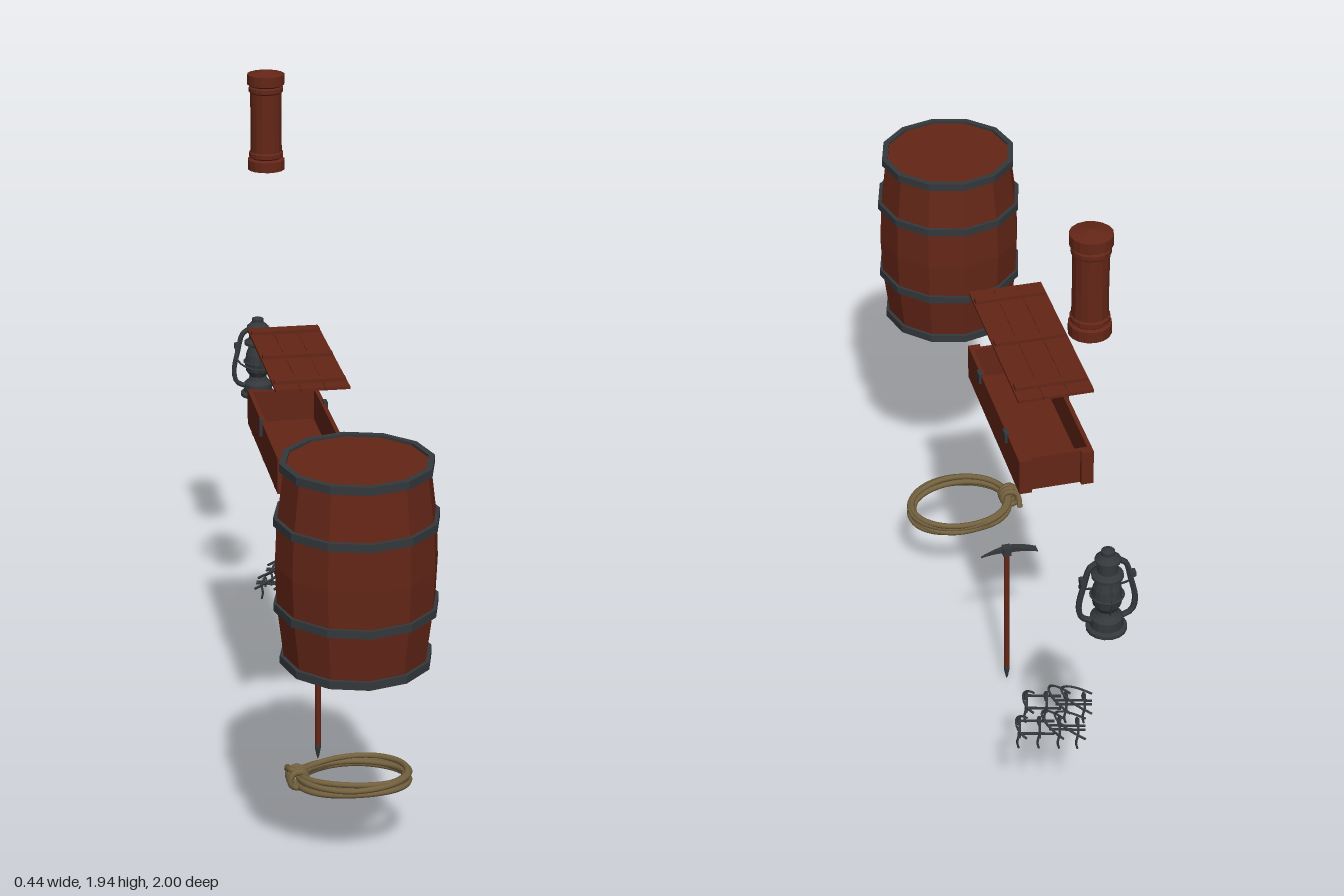
import * as THREE from 'three';

const mat = (color, flatShading = true) =>
  new THREE.MeshStandardMaterial({ color, flatShading, side: THREE.DoubleSide });
const wood = mat(0x642617), metal = mat(0x34383b), ropeMat = mat(0x74623f, false);
const V = (x, y, z) => new THREE.Vector3(x, y, z);

function add(parent, name, geometry, material, x = 0, y = 0, z = 0) {
  const mesh = new THREE.Mesh(geometry, material);
  mesh.name = name;
  mesh.position.set(x, y, z);
  parent.add(mesh);
  return mesh;
}

function group(parent, name, x, y, z) {
  const g = new THREE.Group();
  g.name = name;
  g.position.set(x, y, z);
  parent.add(g);
  return g;
}

const lathe = (pts, sides) =>
  new THREE.LatheGeometry(pts.map(([r, y]) => new THREE.Vector2(r, y)), sides);
const box = (w, h, d) => new THREE.BoxGeometry(w, h, d);
const tube = (pts, r, n = 16, sides = 6, closed = false) =>
  new THREE.TubeGeometry(new THREE.CatmullRomCurve3(pts, closed), n, r, sides, closed);

// Twelve-sided barrel with four hoops
function barrel(root) {
  const g = group(root, 'barrel', -0.006, 0.745, 0.784);
  add(g, 'staves', lathe([[0, 0.008], [0.188, 0.008], [0.207, 0.16], [0.212, 0.275],
    [0.207, 0.39], [0.188, 0.545], [0, 0.545]], 12), wood);
  for (const [y, r] of [[0.011, 0.2], [0.16, 0.216], [0.395, 0.216], [0.541, 0.2]]) {
    const h = 0.011, i = r - 0.017;
    add(g, 'hoop', lathe([[i, -h], [r, -h], [r, h], [i, h], [i, -h]], 12), metal, 0, y);
  }
}

// Round canister with thicker, slightly domed ends
function canister(root) {
  const g = group(root, 'canister', -0.006, 1.785, -0.742);
  const half = [[0.046, 0], [0.047, 0.088], [0.051, 0.092], [0.051, 0.104],
    [0.047, 0.108], [0.055, 0.113], [0.055, 0.143], [0, 0.155]];
  const mirrored = half.slice(1).reverse().map(([r, y]) => [r, -y]);
  add(g, 'canisterBody', lathe([...mirrored, ...half], 16), wood);
}

// Open crate with corner posts, floor battens, hinges and a latch
function crate(root) {
  const g = group(root, 'crate', -0.005, 0.945, -0.168);
  add(g, 'floor', box(0.2, 0.01, 0.54), wood, 0, 0.008);
  for (const s of [-1, 1]) {
    add(g, 'sideBoard', box(0.012, 0.105, 0.55), wood, s * 0.097, 0.055);
    add(g, 'endBoard', box(0.2, 0.105, 0.012), wood, 0, 0.055, s * 0.269);
    for (const x of [-1, 1])
      add(g, 'endPost', box(0.034, 0.105, 0.014), wood, x * 0.086, 0.055, s * 0.281);
  }
  for (const z of [-0.216, 0, 0.216]) add(g, 'floorBatten', box(0.2, 0.011, 0.026), wood, 0, -0.002, z);
  for (const z of [-0.145, 0.145]) add(g, 'hinge', box(0.012, 0.03, 0.028), metal, 0.104, 0.097, z);
  add(g, 'latch', box(0.01, 0.05, 0.016), metal, -0.106, 0.095);

  // Plank lid floating above the crate
  const lid = group(root, 'lid', -0.005, 1.242, -0.172);
  for (let i = -1; i <= 1; i++) {
    add(lid, 'lidPlank', box(0.0685, 0.008, 0.545), wood, i * 0.0695);
    add(lid, 'lidBatten', box(0.2, 0.01, 0.024), wood, 0, 0.009, i * 0.216);
  }
}

// Hurricane lantern: flared base, globe, vented cap and bowed side tubes
function lantern(root) {
  const g = group(root, 'lantern', -0.005, 0.858, -0.946);
  add(g, 'base', lathe([[0, 0], [0.054, 0], [0.054, 0.009], [0.044, 0.014], [0.043, 0.04],
    [0.03, 0.052], [0.024, 0.066], [0, 0.066]], 16), metal);
  add(g, 'globe', lathe([[0.026, 0.064], [0.037, 0.082], [0.041, 0.105], [0.037, 0.135],
    [0.027, 0.162], [0, 0.162]], 16), metal);
  add(g, 'cap', lathe([[0.026, 0.16], [0.042, 0.168], [0.042, 0.176], [0.027, 0.186],
    [0.026, 0.212], [0.034, 0.218], [0.034, 0.225], [0.018, 0.24], [0.018, 0.25],
    [0, 0.257]], 16), metal);
  for (const s of [-1, 1]) {
    add(g, 'sideTube', tube([V(s * 0.035, 0.03, 0), V(s * 0.066, 0.045, 0), V(s * 0.075, 0.08, 0),
      V(s * 0.062, 0.15, 0), V(s * 0.046, 0.205, 0), V(s * 0.022, 0.218, 0)], 0.008), metal);
    add(g, 'handlePivot', box(0.016, 0.016, 0.016), metal, s * 0.066, 0.165);
    add(g, 'globeGuard', tube([V(0, 0.064, s * 0.03), V(0, 0.11, s * 0.045),
      V(0, 0.165, s * 0.034)], 0.003), metal);
  }
  const ring = add(g, 'guardRing', new THREE.TorusGeometry(0.043, 0.003, 6, 20), metal, 0, 0.11);
  ring.rotation.x = Math.PI / 2;
  // Carrying handle folded down around the front
  add(g, 'handle', tube([V(-0.07, 0.165, 0), V(-0.064, 0.12, 0.025), V(0, 0.095, 0.047),
    V(0.064, 0.12, 0.025), V(0.07, 0.165, 0)], 0.003), metal);
}

// Pickaxe standing on its tip
function pickaxe(root) {
  const g = group(root, 'pickaxe', 0.045, 0, -0.108);
  add(g, 'shaft', new THREE.CylinderGeometry(0.008, 0.0085, 0.45, 8), wood, 0, 0.263);
  add(g, 'ferrule', lathe([[0, 0], [0.004, 0.012], [0.009, 0.038], [0.009, 0.05], [0, 0.05]], 8), metal);
  const blade = box(0.166, 0.018, 0.014, 1, 1, 1);
  const head = new THREE.BoxGeometry(0.166, 0.018, 0.016, 10, 1, 1);
  blade.dispose();
  const p = head.attributes.position;
  for (let i = 0; i < p.count; i++) {
    const x = p.getX(i), t = Math.abs(x) / 0.083;
    p.setY(i, p.getY(i) * (1 - 0.8 * t) - 0.016 * t * t);
    p.setZ(i, p.getZ(i) * (x > 0 ? 1 - 0.8 * t : 1 + 0.4 * t));
  }
  add(g, 'head', head, metal, -0.007, 0.487);
  add(g, 'headSocket', box(0.024, 0.027, 0.024), metal, 0, 0.482);
}

// Coil of rope, slightly uneven loops bound by a knot
function rope(root) {
  const g = group(root, 'ropeCoil', 0.05, 0.235, 0.457);
  const strand = 0.0085;
  for (let k = 0; k < 5; k++) {
    const pts = [];
    for (let i = 0; i < 14; i++) {
      const a = i / 14 * Math.PI * 2, pinch = 0.5 + 0.5 * Math.cos(a);
      const rx = 0.155 - 0.006 * (k % 3), rz = 0.117 - 0.007 * (k % 3);
      const spread = (k - 2) * 0.008 * (0.4 + 0.6 * Math.abs(Math.cos(a + k)));
      pts.push(V(Math.cos(a) * rx, spread + 0.011 * Math.sin(a) - 0.003 * pinch,
        Math.sin(a) * rz * (1 + 0.06 * Math.sin(k * 2 + a))));
    }
    add(g, 'ropeLoop', tube(pts, strand, 64, 8, true), ropeMat);
  }
  for (let i = -1; i <= 1; i++) {
    const wrap = add(g, 'knotWrap', new THREE.TorusGeometry(0.024, 0.009, 8, 18), ropeMat,
      -0.157, 0.006, i * 0.016);
    wrap.rotation.y = i * 0.15;
  }
  add(g, 'ropeTail', tube([V(-0.15, 0.026, 0.02), V(-0.175, 0.03, 0), V(-0.18, 0.015, -0.035),
    V(-0.175, 0.006, -0.066)], strand, 20, 8), ropeMat);
}

// Spiked boot frame with leaning strap hoops
function crampon(root, x, z) {
  const g = group(root, 'crampon', x, 0.345, z);
  g.rotation.y = -0.27;
  for (const s of [-1, 1]) {
    add(g, 'rail', box(0.1, 0.004, 0.007), metal, 0.045, 0, s * 0.026);
    add(g, 'linkBar', box(0.1, 0.004, 0.006), metal, -0.04, 0, s * 0.008);
    for (const px of [-0.07, -0.02, 0.035, 0.09])
      add(g, 'spike', tube([V(px, 0, s * 0.026), V(px + 0.003, 0, s * 0.042),
        V(px + 0.006, -0.014, s * 0.046), V(px + 0.002, -0.034, s * 0.046)], 0.0035, 8, 4), metal);
  }
  for (const px of [-0.07, -0.02, 0.035, 0.09])
    add(g, 'crossBar', box(0.007, 0.004, px > 0 ? 0.088 : 0.07), metal, px);
  for (const [px, lean, h] of [[-0.09, 0.085, 0.05], [-0.03, 0.06, 0.052], [0.07, 0.03, 0.022]]) {
    const pts = [];
    for (let i = 0; i <= 8; i++) {
      const a = i / 8 * Math.PI, up = Math.sin(a);
      pts.push(V(px + lean * up, -0.004 + h * up, 0.042 * Math.cos(a)));
    }
    add(g, 'strapHoop', tube(pts, 0.004, 20, 4), metal);
  }
}

export function createModel() {
  const root = new THREE.Group();
  root.name = 'miningSupplies';
  barrel(root);
  canister(root);
  crate(root);
  lantern(root);
  pickaxe(root);
  rope(root);
  crampon(root, 0.075, -0.728);
  crampon(root, 0.03, -0.632);
  return root;
}
